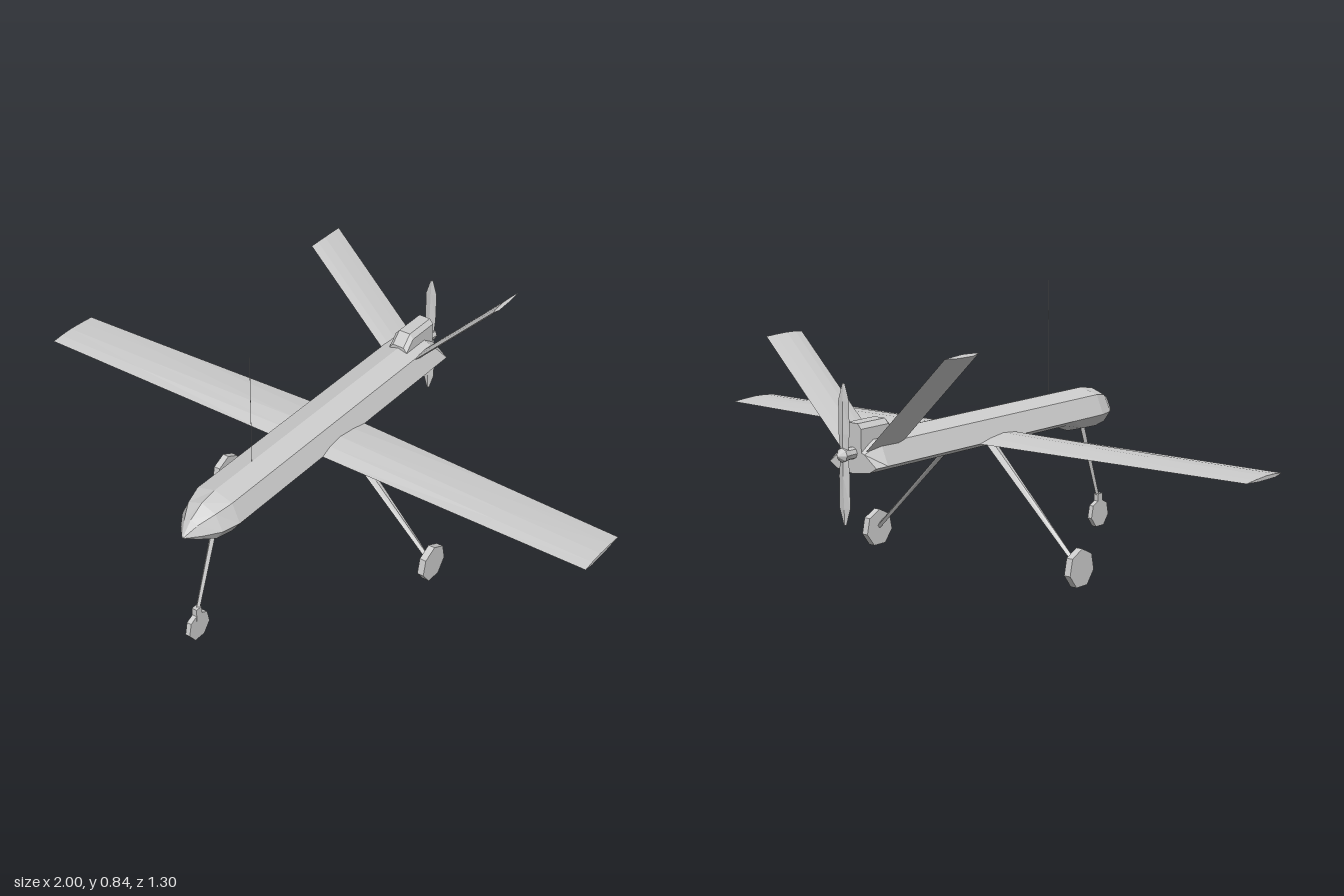
import * as THREE from 'three';

const material = new THREE.MeshStandardMaterial({ color: 0xcccccc, flatShading: true, side: THREE.DoubleSide });

function add(parent, name, geometry) {
  const mesh = new THREE.Mesh(geometry, material);
  mesh.name = name;
  parent.add(mesh);
  return mesh;
}

// Skin closed rings of [x, y, z] points and cap both ends, facing outward
function loft(rings) {
  const n = rings[0].length;
  const tris = [];
  for (let r = 0; r < rings.length - 1; r++) {
    for (let i = 0; i < n; i++) {
      const j = (i + 1) % n, a = rings[r], b = rings[r + 1];
      tris.push([a[i], b[i], b[j]], [a[i], b[j], a[j]]);
    }
  }
  const last = rings[rings.length - 1];
  for (let i = 1; i < n - 1; i++) {
    tris.push([rings[0][0], rings[0][i], rings[0][i + 1]], [last[0], last[i + 1], last[i]]);
  }
  const v = (p) => new THREE.Vector3(...p);
  const origin = v(rings[0][0]);
  let volume = 0;
  for (const [a, b, c] of tris) {
    volume += v(a).sub(origin).dot(v(b).sub(origin).cross(v(c).sub(origin)));
  }
  if (volume < 0) tris.forEach((t) => t.reverse());
  const geometry = new THREE.BufferGeometry();
  geometry.setAttribute('position', new THREE.Float32BufferAttribute(tris.flat(2), 3));
  geometry.computeVertexNormals();
  return geometry;
}

// Airfoil outline as [z, height] pairs between leading and trailing edges
function airfoil(front, back, up, down) {
  const at = (t) => front + (back - front) * t;
  return [[front, 0], [at(0.2), up * 0.7], [at(0.45), up], [at(0.75), up * 0.6],
    [back, 0], [at(0.65), -down * 0.8], [at(0.2), -down]];
}

// Wheel with seven sides, flat side down, resting on y = 0
function wheel(parent, name, radius, width, x, z) {
  const geometry = new THREE.CylinderGeometry(radius, radius, width, 7);
  geometry.rotateY(Math.PI / 2).rotateZ(Math.PI / 2);
  geometry.computeBoundingBox();
  // Turn so that a corner points straight up
  const p = geometry.attributes.position;
  const angle = Math.atan2(p.getY(0), p.getZ(0));
  geometry.rotateX(angle - Math.PI / 2);
  add(parent, name, geometry).position.set(x, radius * Math.cos(Math.PI / 7), z);
}

export function createModel() {
  const model = new THREE.Group();
  model.name = 'aircraft';

  // Fuselage: z, top, shoulder x/y, waist x/y, lower x/y, bottom
  const stations = [
    [0.648, 0.403, 0.003, 0.402, 0.005, 0.4, 0.003, 0.398, 0.397],
    [0.61, 0.442, 0.025, 0.432, 0.04, 0.4, 0.026, 0.382, 0.376],
    [0.56, 0.47, 0.05, 0.452, 0.075, 0.4, 0.05, 0.365, 0.356],
    [0.5, 0.48, 0.064, 0.462, 0.09, 0.4, 0.06, 0.36, 0.346],
    [0.43, 0.48, 0.064, 0.462, 0.09, 0.4, 0.06, 0.362, 0.346],
    [0.34, 0.48, 0.064, 0.462, 0.09, 0.4, 0.062, 0.383, 0.375],
    [-0.535, 0.48, 0.064, 0.462, 0.09, 0.4, 0.062, 0.383, 0.375],
    [-0.585, 0.45, 0.045, 0.435, 0.09, 0.4, 0.062, 0.383, 0.375],
  ];
  add(model, 'fuselage', loft(stations.map(([z, top, sx, sy, wx, wy, lx, ly, bottom]) => [
    [0, top, z], [sx, sy, z], [wx, wy, z], [lx, ly, z],
    [0, bottom, z], [-lx, ly, z], [-wx, wy, z], [-sx, sy, z],
  ])));

  // Engine cowl on the rear deck
  const cowl = [[-0.435, 0.487], [-0.47, 0.522], [-0.585, 0.522]];
  add(model, 'engineCowl', loft(cowl.map(([z, top]) => [
    [0.033, 0.42, z], [0.033, top - 0.015, z], [0.02, top, z],
    [-0.02, top, z], [-0.033, top - 0.015, z], [-0.033, 0.42, z],
  ])));

  for (const [side, s] of [['left', 1], ['right', -1]]) {
    // Straight leading edge, trailing edge swept forward
    const wingStations = [[0, -0.128, 0.016, 0.011], [0.09, -0.125, 0.016, 0.011],
      [0.67, -0.102, 0.008, 0.006], [1, -0.09, 0.006, 0.006]];
    add(model, side + 'Wing', loft(wingStations.map(([x, back, up, down]) =>
      airfoil(0.095, back, up, down).map(([z, h]) => [s * x, 0.4 + h, z]))));

    // Tail fin leaning out at 45 degrees
    const d = Math.SQRT1_2;
    add(model, side + 'TailFin', loft([[0.05, 0.445], [0.341, 0.737]].map(([x, y]) =>
      airfoil(-0.435, -0.582, 0.006, 0.006).map(([z, h]) => [s * (x - h * d), y + h * d, z]))));

    // Main landing gear: tapering leg and wheel
    const leg = [[0.045, 0.41, 0.024], [0.395, 0.058, 0.009]];
    add(model, side + 'MainLeg', loft(leg.map(([x, y, w]) =>
      [[0, w], [0.007, 0], [0, -w], [-0.007, 0]].map(([h, z]) =>
        [s * (x + h * d), y + h * d, z - 0.044]))));
    wheel(model, side + 'MainWheel', 0.06, 0.022, s * 0.402, -0.044);
  }

  // Nose gear: raked strut, fork and wheel
  add(model, 'noseStrut', loft([[0.365, 0.503, 0.01], [0.09, 0.602, 0.007]].map(([y, z, w]) =>
    [[-w, 0], [0, w], [w, 0], [0, -w]].map(([x, dz]) => [x, y, z + dz]))));
  add(model, 'noseFork', new THREE.BoxGeometry(0.018, 0.06, 0.024)).position.set(0, 0.08, 0.602);
  wheel(model, 'noseWheel', 0.048, 0.016, 0, 0.602);

  // Pusher propeller: shaft, spinner and two blades
  const propeller = new THREE.Group();
  propeller.name = 'propeller';
  propeller.position.set(0, 0.435, -0.62);
  model.add(propeller);
  add(propeller, 'shaft', new THREE.CylinderGeometry(0.018, 0.018, 0.05, 8).rotateX(Math.PI / 2)).position.z = 0.02;
  add(propeller, 'spinner', new THREE.LatheGeometry(
    [[0, 0.012], [0.018, 0.012], [0.021, -0.01], [0, -0.03]].reverse().map(([r, y]) => new THREE.Vector2(r, y)), 8,
  ).rotateX(Math.PI / 2));
  for (const s of [1, -1]) {
    const blade = [[0, 0.012, 0.006], [0.06, 0.018, 0.006], [0.155, 0.019, 0.004], [0.205, 0.004, 0.002]];
    add(propeller, s > 0 ? 'upperBlade' : 'lowerBlade', loft(blade.map(([y, w, t]) =>
      [[w, -t * s * 0.5], [0, t], [-w, t * s * 0.5], [0, -t]].map(([x, z]) => [s * x, s * y, z]))));
  }

  // Whip antenna
  add(model, 'antenna', new THREE.CylinderGeometry(0.001, 0.001, 0.375, 4)).position.set(0, 0.657, 0.325);

  return model;
}
